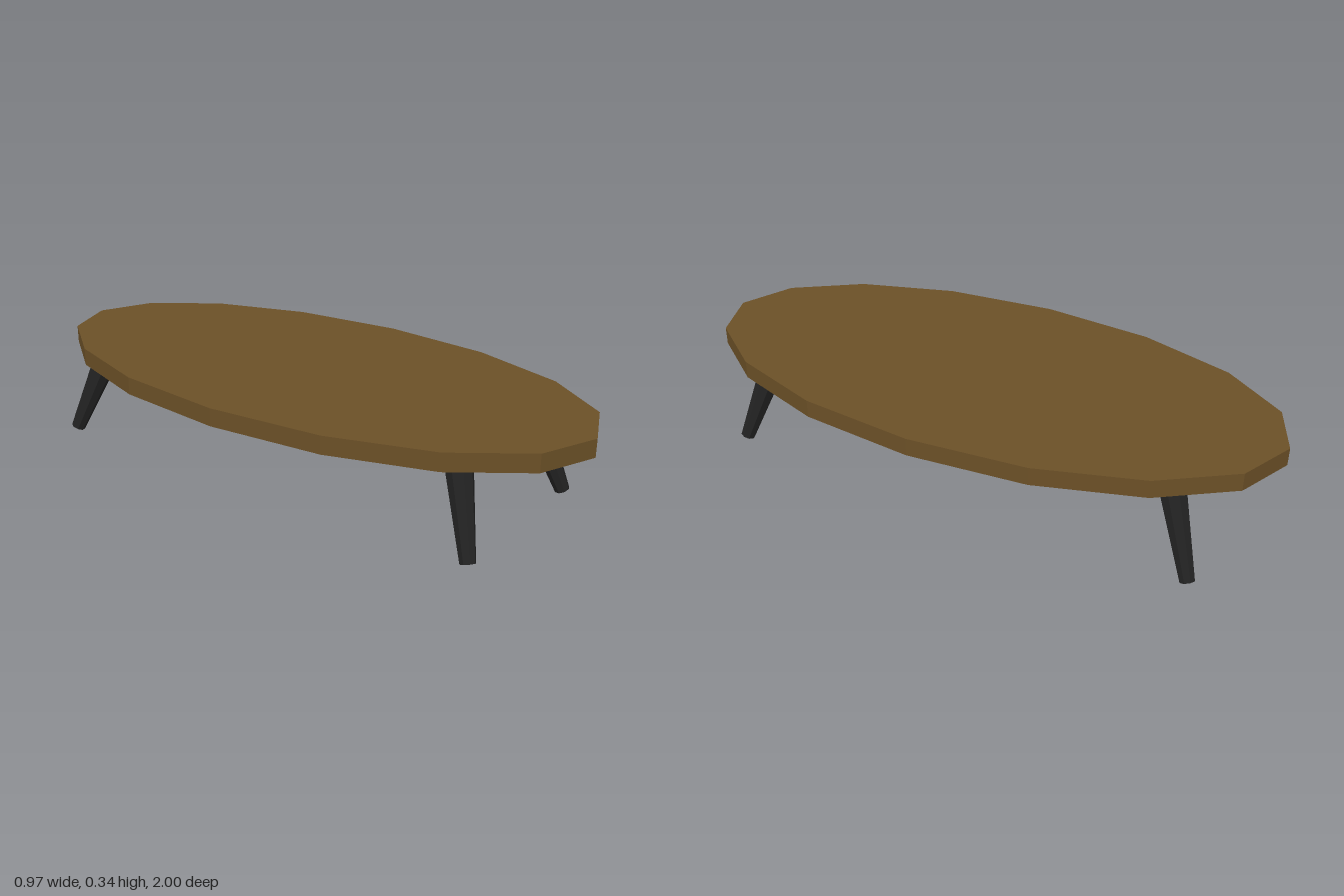
import * as THREE from 'three';

const wood = new THREE.MeshStandardMaterial({ color: 0x6b5027, flatShading: true });
const black = new THREE.MeshStandardMaterial({ color: 0x222222, flatShading: true });

// Tapered round leg between a foot point and a top point
function makeLeg(name, foot, top) {
  const a = new THREE.Vector3(...foot);
  const b = new THREE.Vector3(...top);
  const dir = b.clone().sub(a);
  const leg = new THREE.Mesh(new THREE.CylinderGeometry(0.045, 0.024, dir.length(), 8), black);
  leg.position.copy(a).add(b).multiplyScalar(0.5);
  leg.quaternion.setFromUnitVectors(new THREE.Vector3(0, 1, 0), dir.normalize());
  leg.name = name;
  return leg;
}

export function createModel() {
  const group = new THREE.Group();
  group.name = 'ovalTable';

  // Faceted oval top
  const top = new THREE.Mesh(new THREE.CylinderGeometry(1, 1, 0.058, 16), wood);
  top.scale.x = 0.487;
  top.position.y = 0.316;
  top.name = 'tableTop';
  group.add(top);

  // Four splayed legs, the back pair set slightly further out
  group.add(
    makeLeg('frontLeftLeg', [0.297, 0.01, 0.783], [0.222, 0.3, 0.686]),
    makeLeg('frontRightLeg', [-0.298, 0.01, 0.783], [-0.216, 0.3, 0.686]),
    makeLeg('backLeftLeg', [0.306, 0.01, -0.832], [0.228, 0.3, -0.726]),
    makeLeg('backRightLeg', [-0.297, 0.01, -0.832], [-0.216, 0.3, -0.726]),
  );
  return group;
}
